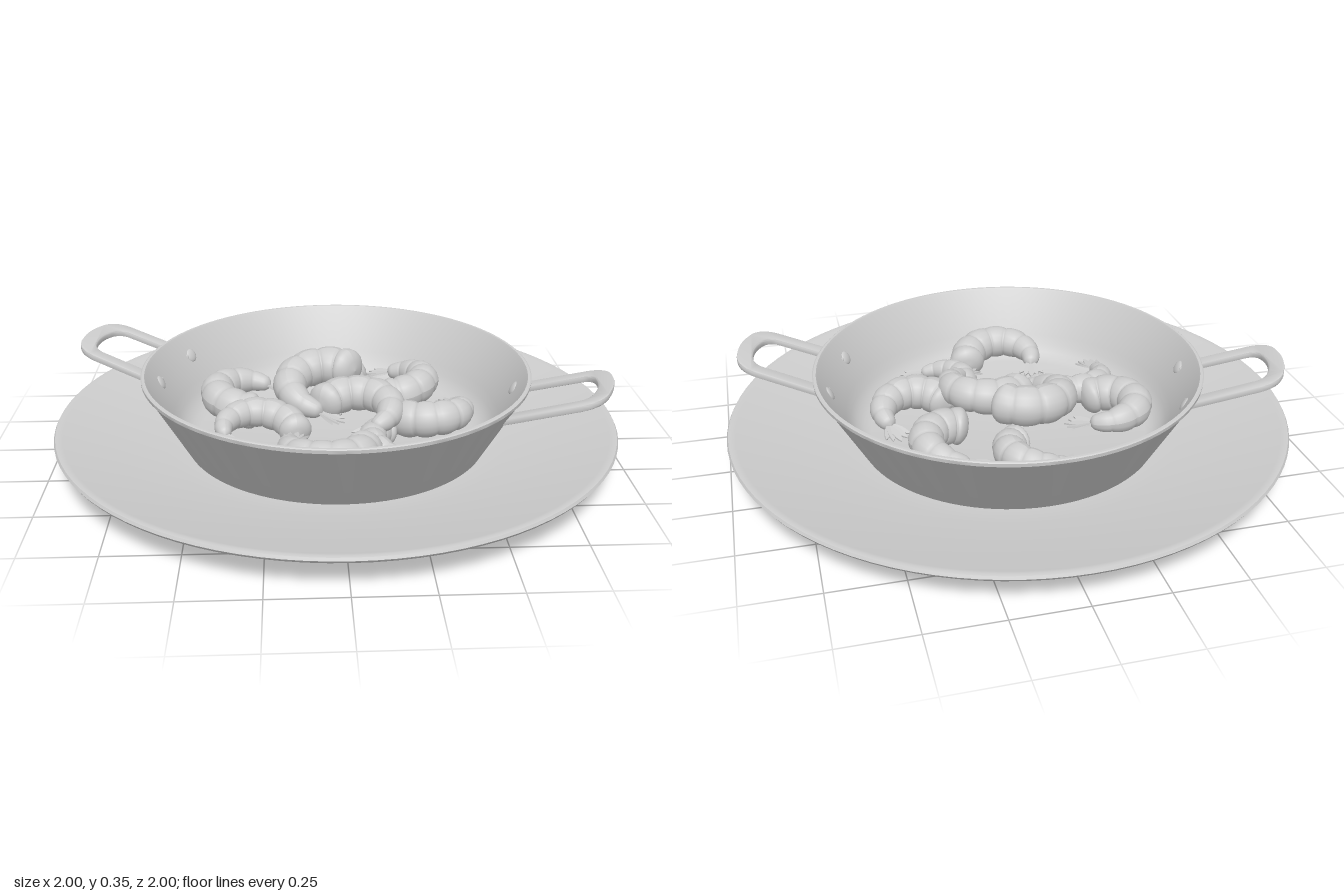
import * as THREE from 'three';
import { mergeGeometries, toCreasedNormals } from 'three/addons/utils/BufferGeometryUtils.js';

const grey = new THREE.MeshStandardMaterial({ color: 0xcccccc });
grey.name = 'plain grey';

function mesh(name, geometry) {
  const m = new THREE.Mesh(geometry, grey);
  m.name = name;
  return m;
}

// Turned parts: profile runs from bottom centre, out and up, back to top centre
function turned(name, profile) {
  const points = profile.map(([r, y]) => new THREE.Vector2(r, y));
  return mesh(name, toCreasedNormals(new THREE.LatheGeometry(points, 96), 0.6));
}

// Flat U-shaped loop, outward along +x, standing against the pan wall
function handle() {
  const loop = (path, start, end, half, corner) => {
    path.moveTo(start, -half);
    path.lineTo(end - corner, -half + 0.005);
    path.quadraticCurveTo(end - 0.02, -half + 0.01, end - 0.008, -half + corner);
    path.quadraticCurveTo(end + 0.008, 0, end - 0.008, half - corner);
    path.quadraticCurveTo(end - 0.02, half - 0.01, end - corner, half - 0.005);
    path.lineTo(start, half);
  };
  const shape = new THREE.Shape();
  loop(shape, 0.625, 0.96, 0.16, 0.09);
  // Inner edge, traced back to the start
  const inner = new THREE.Path();
  loop(inner, 0.625, 0.918, 0.118, 0.06);
  inner.getPoints(8).reverse().forEach((p) => shape.lineTo(p.x, p.y));
  const g = new THREE.ExtrudeGeometry(shape, {
    depth: 0.012, bevelThickness: 0.006, bevelSize: 0.005, bevelSegments: 2, curveSegments: 8,
  });
  g.rotateX(Math.PI / 2);
  // Tilt upwards away from the pan
  const p = g.attributes.position;
  for (let i = 0; i < p.count; i++) {
    p.setY(i, p.getY(i) + 0.24 + (p.getX(i) - 0.625) * 0.31);
  }
  return mesh('handle', toCreasedNormals(g, 0.7));
}

function handleSet(name, angle) {
  const set = new THREE.Group();
  set.name = name;
  set.add(handle());
  for (const side of [-1, 1]) {
    const rivet = mesh('rivet', new THREE.SphereGeometry(0.026, 16, 10));
    const a = side * 0.225;
    rivet.scale.set(0.4, 1, 1);
    rivet.position.set(0.635 * Math.cos(a), 0.235, 0.635 * Math.sin(a));
    rivet.rotation.set(0, -a, -0.5, 'YZX');
    set.add(rivet);
  }
  set.rotation.y = -angle;
  return set;
}

// Five thin pointed blades spreading along +z
function tailFan() {
  const leaf = new THREE.Shape();
  leaf.moveTo(-0.006, 0);
  leaf.quadraticCurveTo(-0.024, 0.06, 0, 0.105);
  leaf.quadraticCurveTo(0.024, 0.06, 0.006, 0);
  const blades = [-2, -1, 0, 1, 2].map((i) => {
    const g = new THREE.ExtrudeGeometry(leaf, {
      depth: 0.006, bevelEnabled: false, curveSegments: 6,
    });
    g.rotateX(Math.PI / 2);
    const s = 1 - 0.08 * Math.abs(i);
    g.scale(s, 1, s);
    g.rotateZ(i * 0.15);
    g.rotateY(i * 0.27);
    return g;
  });
  return mergeGeometries(blades);
}

// Centre line of a curled body: an arc that opens out and dips at both ends
function curl(x, z, y, radius, start, sweep, drop) {
  const points = [];
  for (let i = 0; i <= 8; i++) {
    const t = i / 8;
    const a = THREE.MathUtils.degToRad(start + sweep * t);
    const r = radius * (0.94 + 0.2 * (2 * t - 1) ** 2);
    const height = y + 0.025 * Math.sin(Math.PI * t) - drop * t;
    points.push(new THREE.Vector3(x + r * Math.cos(a), height, z + r * Math.sin(a)));
  }
  return new THREE.CatmullRomCurve3(points);
}

// Curled body from thick end to tail, with overlapping shell segments
function shrimp(curve, size, fanGeometry) {
  const group = new THREE.Group();
  group.name = 'shrimp';
  const g = new THREE.TubeGeometry(curve, 84, 1, 18);
  const { position, normal, uv } = g.attributes;
  for (let i = 0; i < position.count; i++) {
    const t = uv.getX(i);
    const c = curve.getPointAt(t);
    const bulge = 0.91 + 0.12 * Math.sqrt(Math.abs(Math.sin(Math.PI * t * 7)));
    const taper = 1 - 0.12 * t - 0.56 * t ** 4;
    const cap = Math.sqrt(1 - Math.max(0, 1 - t / 0.09) ** 2)
      * Math.sqrt(Math.max(0, 1 - Math.max(0, (t - 0.96) / 0.04) ** 2));
    const r = size * bulge * taper * cap;
    position.setXYZ(i, c.x + normal.getX(i) * r, c.y + normal.getY(i) * r, c.z + normal.getZ(i) * r);
  }
  g.computeVertexNormals();
  group.add(mesh('shrimpBody', g));
  const fan = mesh('tailFan', fanGeometry);
  const end = curve.getPointAt(0.97);
  fan.position.copy(end);
  fan.lookAt(end.clone().add(curve.getTangentAt(1)));
  group.add(fan);
  return group;
}

export function createModel() {
  const model = new THREE.Group();
  model.name = 'shrimpPan';

  model.add(turned('plate', [
    [0, 0], [0.54, 0], [0.6, 0.008], [0.8, 0.054], [0.97, 0.1], [0.993, 0.109], [1, 0.119],
    [0.995, 0.128], [0.985, 0.13], [0.97, 0.126], [0.8, 0.085], [0.62, 0.048], [0.54, 0.038], [0, 0.036],
  ]));

  model.add(turned('pan', [
    [0, 0.037], [0.525, 0.037], [0.542, 0.046], [0.681, 0.294], [0.689, 0.298], [0.69, 0.31],
    [0.686, 0.313], [0.677, 0.313], [0.672, 0.306], [0.585, 0.15], [0.57, 0.118], [0.55, 0.09],
    [0.525, 0.071], [0.5, 0.062], [0, 0.06],
  ]));

  model.add(handleSet('leftHandle', 0.31), handleSet('rightHandle', 0.31 + Math.PI));

  // Shrimps: x, z, height, curl radius, start angle, sweep, drop to tail, thickness
  const pile = [
    [-0.02, -0.34, 0.12, 0.1, 75, -215, 0, 0.06],
    [0.235, -0.24, 0.135, 0.115, 118, -215, 0, 0.066],
    [0.335, 0.03, 0.135, 0.115, 176, -215, 0, 0.066],
    [-0.33, -0.13, 0.13, 0.112, 62, 253, -0.02, 0.067],
    [-0.275, 0.14, 0.11, 0.118, 9, -219, -0.03, 0.058],
    [-0.05, 0.35, 0.14, 0.118, -17, 233, -0.01, 0.066],
    [0.22, 0.25, 0.11, 0.113, 260, -186, 0, 0.052],
    [-0.05, -0.08, 0.235, 0.122, -23, -247, 0.08, 0.072],
    [0.07, 0.09, 0.175, 0.122, 198, 232, 0.01, 0.067],
  ];
  const fanGeometry = tailFan();
  const shrimps = new THREE.Group();
  shrimps.name = 'shrimps';
  for (const [x, z, y, radius, start, sweep, drop, size] of pile) {
    shrimps.add(shrimp(curl(x, z, y, radius, start, sweep, drop), size, fanGeometry));
  }
  model.add(shrimps);

  return model;
}
